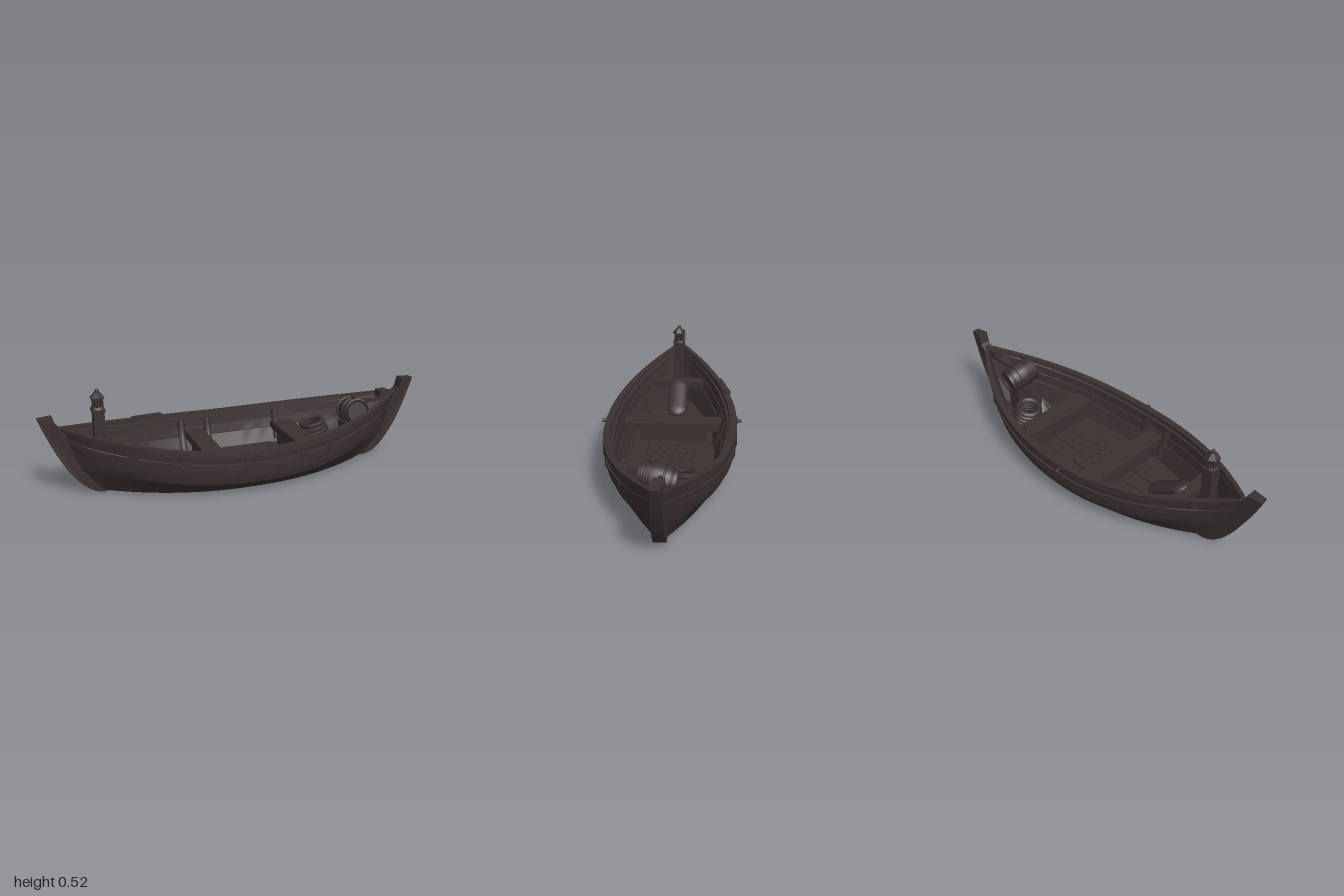
import * as THREE from 'three';
import { toCreasedNormals } from 'three/addons/utils/BufferGeometryUtils.js';

const wood = new THREE.MeshStandardMaterial({ color: 0x3a3030 });
wood.name = 'dark wood';

// Hull rules: strakes above the bilge sweep up, and width tapers, towards both ends
const clamp = (v) => Math.min(1, Math.max(0, v));
const RISE = 0.115;
const bilge = (y) => clamp((y - 0.04) / 0.02);
const lift = (y, x) => y + RISE * bilge(y) * Math.pow(clamp(Math.abs(x) / 0.92), 2);
const taper = (u) => Math.max(0, 1 - Math.pow(Math.abs(u), 2.2));
const endX = (y) => 0.72 + 0.2 * Math.sqrt((y + RISE * bilge(y)) / 0.35);
const hullPoint = (u, w, y, inset) => {
  const x = u * (endX(y) - inset);
  return [x, lift(y, x), w * taper(u)];
};
const halfWidth = (x, w, y) => w * taper(x / endX(y));

// Mid section: half width and height, lapped strakes outside, then rail and inside
const outside = [[0, 0], [0.22, 0], [0.25, 0.018], [0.288, 0.057], [0.3, 0.06], [0.313, 0.1],
  [0.322, 0.1], [0.325, 0.145], [0.335, 0.147], [0.335, 0.172], [0.325, 0.175], [0.328, 0.203],
  [0.338, 0.206], [0.336, 0.235]];
const inside = [[0.3, 0.236], [0.298, 0.216], [0.285, 0.212], [0.281, 0.17], [0.274, 0.168],
  [0.265, 0.12], [0.257, 0.118], [0.225, 0.045], [0, 0.04]];

function hullSide(side) {
  const rows = [...outside.map((p) => [...p, 0]), ...inside.map((p) => [...p, 0.03])];
  const n = 56, pos = [], idx = [], m = rows.length;
  for (let i = 0; i <= n; i++) {
    const u = Math.sin((i / n - 0.5) * Math.PI);
    for (const row of rows) {
      const [x, y, z] = hullPoint(u, ...row);
      pos.push(x, y, z * side);
    }
  }
  for (let i = 0; i < n; i++) for (let j = 0; j < m - 1; j++) {
    const a = i * m + j, b = a + m, c = a + 1, d = b + 1;
    if (side > 0) idx.push(a, b, c, b, d, c);
    else idx.push(a, c, b, b, c, d);
  }
  const g = new THREE.BufferGeometry();
  g.setAttribute('position', new THREE.Float32BufferAttribute(pos, 3));
  g.setIndex(idx);
  return toCreasedNormals(g, 0.5);
}

// Curved end post: outer sweep up, inner sweep back down, thinner at the tip
function stemGeometry(top) {
  const s = new THREE.Shape();
  s.moveTo(0.66, 0.004);
  for (let i = 0; i <= 12; i++) s.lineTo(0.71 + 0.29 * i / 12, top * (i / 12) ** 2);
  s.lineTo(0.93, top + 0.004);
  s.lineTo(0.918, 0.36);
  s.lineTo(0.875, 0.315);
  s.lineTo(0.82, 0.16);
  s.lineTo(0.74, 0.06);
  const g = new THREE.ExtrudeGeometry(s, { depth: 0.056, bevelEnabled: false });
  g.translate(0, 0, -0.028);
  const p = g.attributes.position;
  for (let i = 0; i < p.count; i++) {
    p.setZ(i, p.getZ(i) * (1 - 3.5 * Math.max(0, p.getX(i) - 0.92)));
  }
  g.computeVertexNormals();
  return g;
}

export function createModel() {
  const model = new THREE.Group();
  model.name = 'rowing boat';
  const add = (name, geo, x = 0, y = 0, z = 0, rx = 0, ry = 0, rz = 0) => {
    const mesh = new THREE.Mesh(geo, wood);
    mesh.name = name;
    mesh.position.set(x, y, z);
    mesh.rotation.set(rx, ry, rz);
    model.add(mesh);
    return mesh;
  };
  const box = (name, w, h, d, ...at) => add(name, new THREE.BoxGeometry(w, h, d), ...at);
  const cyl = (name, r1, r2, h, n, ...at) => add(name, new THREE.CylinderGeometry(r1, r2, h, n), ...at);
  const lathe = (pts, n) => toCreasedNormals(new THREE.LatheGeometry(pts.map((p) => new THREE.Vector2(...p)), n), 0.5);

  // Hull and stems
  add('hullLeft', hullSide(1));
  add('hullRight', hullSide(-1));
  add('sternStem', stemGeometry(0.411));
  add('bowStem', stemGeometry(0.398), 0, 0, 0, 0, Math.PI, 0);

  // Floor boards, shortened towards the sides
  for (let k = -2; k <= 2; k++) {
    const z = k * 0.084, reach = 0.7 * Math.pow(1 - (Math.abs(z) + 0.04) / 0.235, 1 / 2.2);
    box('floorBoard', reach * 2, 0.012, 0.08, 0, 0.046 + (k % 2) * 0.002, z);
  }

  // Short ribs against the inner planking
  for (const x of [-0.24, -0.09, 0.3]) for (const s of [-1, 1]) {
    const pts = [[0.285, 0.205], [0.268, 0.14], [0.228, 0.055]].map(([w, y]) =>
      new THREE.Vector3(x, lift(y, x), s * halfWidth(x, w - 0.002, y)));
    add('rib', new THREE.TubeGeometry(new THREE.CatmullRomCurve3(pts), 6, 0.02, 4));
  }

  // Benches with a boxed support below
  for (const [x, w] of [[-0.17, 0.1], [0.33, 0.115]]) {
    box('bench', w, 0.04, halfWidth(x, 0.275, 0.14) * 2, x, 0.14, 0);
    box('benchSupport', w - 0.03, 0.08, 0.36, x, 0.085, 0);
  }
  box('bowBeam', 0.06, 0.035, 0.3, -0.61, 0.2, 0);

  // Round grate with drain holes
  const disc = new THREE.Shape().absarc(0, 0, 0.125, 0, Math.PI * 2);
  const hole = (x, y) => disc.holes.push(new THREE.Path().absarc(x, y, 0.011, 0, Math.PI * 2, true));
  hole(0, 0);
  for (const [n, r] of [[5, 0.04], [9, 0.078]])
    for (let i = 0; i < n; i++) hole(r * Math.cos(i * 2 * Math.PI / n), r * Math.sin(i * 2 * Math.PI / n));
  add('floorGrate', new THREE.ExtrudeGeometry(disc, { depth: 0.01, bevelEnabled: false, curveSegments: 16 }), 0.01, 0.05, 0, -Math.PI / 2);

  // Lantern on its post
  box('lanternPost', 0.052, 0.35, 0.058, -0.715, 0.235, 0);
  box('postCollar', 0.062, 0.015, 0.066, -0.715, 0.411, 0);
  cyl('lanternBase', 0.026, 0.032, 0.012, 6, -0.715, 0.424, 0);
  cyl('lanternGlass', 0.022, 0.022, 0.05, 6, -0.715, 0.45, 0);
  for (let i = 0; i < 6; i++) {
    const a = i * Math.PI / 3;
    box('lanternBar', 0.008, 0.046, 0.008, -0.715 + 0.024 * Math.sin(a), 0.45, 0.024 * Math.cos(a), 0, a);
  }
  add('lanternRoof', lathe([[0, 0.468], [0.036, 0.47], [0.036, 0.476], [0.012, 0.502], [0, 0.502]], 6), -0.715);
  add('lanternKnob', new THREE.SphereGeometry(0.011, 10, 8), -0.715, 0.506, 0);

  // Barrel lying across the stern
  const barrel = new THREE.Group();
  barrel.name = 'barrel';
  const staves = new THREE.Mesh(lathe([[0, -0.075], [0.052, -0.075], [0.058, -0.085], [0.068, -0.045], [0.073, 0],
    [0.068, 0.045], [0.058, 0.085], [0.052, 0.075], [0, 0.075]], 18), wood);
  staves.name = 'barrelStaves';
  barrel.add(staves);
  for (const y of [-0.065, -0.03, 0.03, 0.065]) {
    const hoop = new THREE.Mesh(new THREE.TorusGeometry(0.074 - Math.abs(y) * 0.15, 0.005, 5, 20), wood);
    hoop.name = 'barrelHoop';
    hoop.rotation.x = Math.PI / 2;
    hoop.position.y = y;
    barrel.add(hoop);
  }
  barrel.position.set(0.64, 0.262, 0.02);
  barrel.rotation.set(Math.PI / 2 - 0.2, 0, 0.12);
  model.add(barrel);
  cyl('barrelBung', 0.014, 0.016, 0.03, 8, 0.635, 0.335, 0.04);
  box('barrelCradle', 0.08, 0.14, 0.08, 0.63, 0.13, 0);

  // Rope coil, folded cloth and a draped blanket at the bow
  for (let i = 0; i < 5; i++)
    add('ropeCoil', new THREE.TorusGeometry(0.078 - i * 0.005, 0.014, 6, 20), 0.475 - i * 0.006, 0.095 + i * 0.022, -0.085, Math.PI / 2, 0.25);
  const cloth = new THREE.ConeGeometry(0.085, 0.1, 24, 1);
  const cp = cloth.attributes.position;
  for (let i = 0; i < cp.count; i++) {
    const k = 1 + 0.1 * Math.sin(Math.atan2(cp.getZ(i), cp.getX(i)) * 8);
    cp.setX(i, cp.getX(i) * k);
    cp.setZ(i, cp.getZ(i) * k);
  }
  cloth.computeVertexNormals();
  add('foldedCloth', cloth, 0.49, 0.11, 0.05);
  add('drapedBlanket', new THREE.CapsuleGeometry(0.055, 0.15, 5, 14), -0.49, 0.155, -0.005, 0, 0, 1.0).scale.x = 0.45;

  // Stern bar and block
  box('sternBar', 0.2, 0.016, 0.02, 0.8, 0.3, 0);
  box('sternBlock', 0.055, 0.04, 0.05, 0.825, 0.335, 0);

  // Cleats along the rubbing strake
  for (const s of [-1, 1]) for (const x of [-0.6, -0.37, -0.07, 0.07, 0.22, 0.39, 0.6]) {
    const z = halfWidth(x, 0.332, 0.16), slope = (halfWidth(x + 0.01, 0.332, 0.16) - z) / 0.01;
    box('cleat', 0.04, 0.032, 0.014, x, lift(0.165, x), s * z, 0, -s * Math.atan(slope), 0);
  }

  // Oar pegs through the rail
  for (const [x, s] of [[-0.07, -1], [-0.03, 1]]) {
    cyl('oarPeg', 0.009, 0.009, 0.06, 8, x, 0.213, s * 0.332, Math.PI / 2);
    box('oarPegPlate', 0.04, 0.024, 0.014, x, 0.215, s * 0.334);
  }
  // Patch on the rail
  box('railPatch', 0.17, 0.016, 0.035, -0.42, 0.26, -0.262, 0, 0.32, -0.08);
  return model;
}
